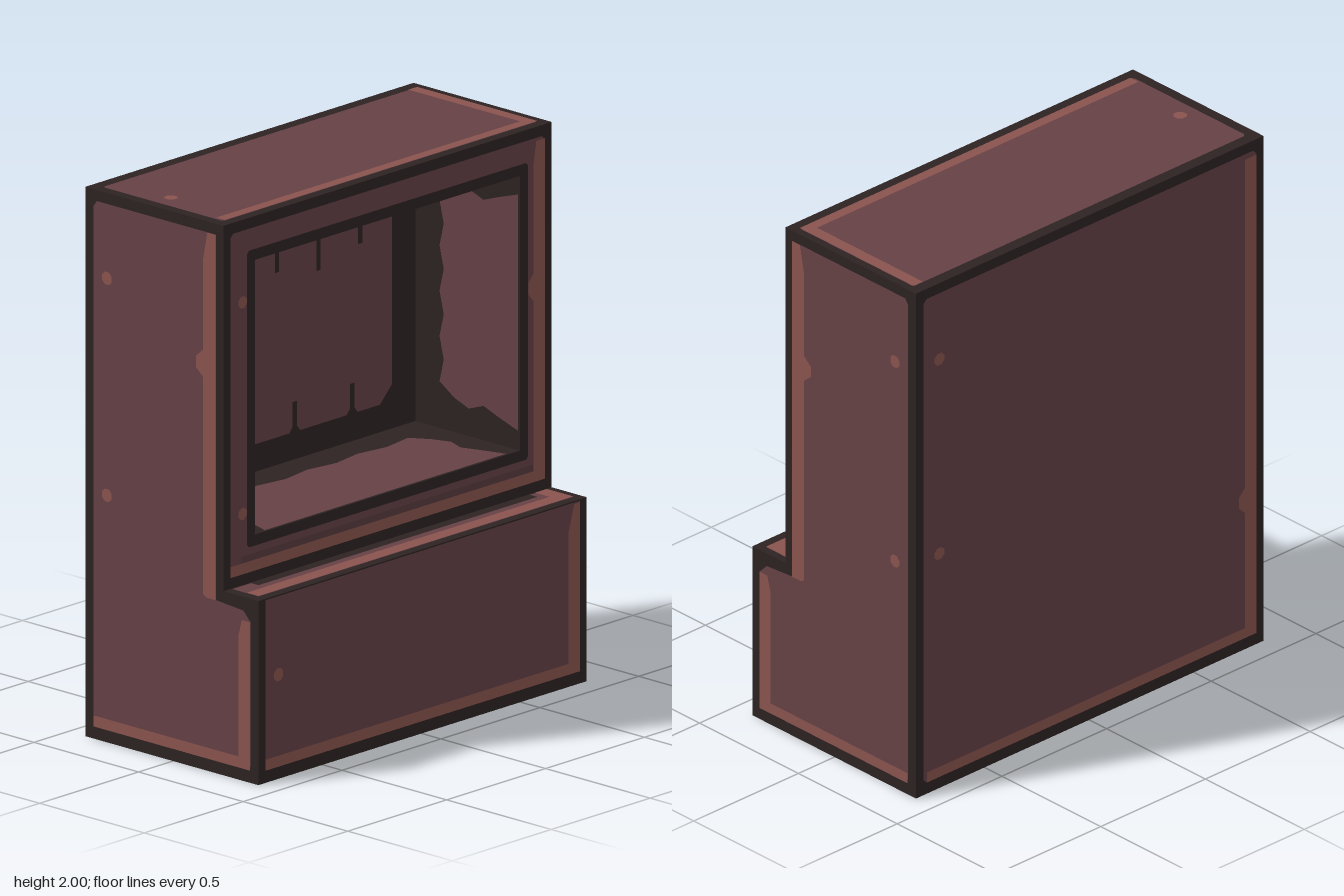
import * as THREE from 'three';

const mat = (name, color) => new THREE.MeshStandardMaterial({ name, color, side: THREE.DoubleSide });

// rectangle with cut corners, as points
function rect(u0, u1, v0, v1, c = 0) {
  if (!c) return [[u0, v0], [u1, v0], [u1, v1], [u0, v1]];
  return [[u0 + c, v0], [u1 - c, v0], [u1, v0 + c], [u1, v1 - c],
    [u1 - c, v1], [u0 + c, v1], [u0, v1 - c], [u0, v0 + c]];
}
const dot = (u, v, r = 0.025) => Array.from({ length: 8 }, (_, i) => {
  const a = (i + 0.5) * Math.PI / 4;
  return [u + r * Math.cos(a), v + r * Math.sin(a)];
});
const bump = (u, v, d) => [[u, v - 0.05], [u + d, v - 0.02], [u + d, v + 0.02], [u, v + 0.05]];

export function createModel() {
  const model = new THREE.Group();
  const dark = mat('darkEdge', 0x2c2322);
  const mauve = mat('mauvePanel', 0x654145);
  const shade = mat('deepMauve', 0x583a3e);
  const pink = mat('wornEdge', 0x8a534e);

  // flat face on a plane: axis x uses (z, y), y uses (x, z), z uses (x, y)
  function face(parent, name, material, axis, at, dir, points, holes = []) {
    const toV = p => p.map(([a, b]) => new THREE.Vector2(a, b));
    const shape = new THREE.Shape(toV(points));
    holes.forEach(h => shape.holes.push(new THREE.Path(toV(h))));
    const geo = new THREE.ShapeGeometry(shape);
    const X = new THREE.Vector3(1, 0, 0), Y = new THREE.Vector3(0, 1, 0), Z = new THREE.Vector3(0, 0, 1);
    const [u, v, n] = { x: [Z, Y, X], y: [X, Z, Y], z: [X, Y, Z] }[axis];
    const m = new THREE.Matrix4().makeBasis(u, v, n.clone().multiplyScalar(dir));
    if (m.determinant() < 0) {
      const ix = geo.index.array;
      for (let i = 0; i < ix.length; i += 3) [ix[i], ix[i + 1]] = [ix[i + 1], ix[i]];
    }
    geo.applyMatrix4(m);
    const mesh = new THREE.Mesh(geo, material);
    mesh.name = name;
    mesh.position[axis] = at;
    parent.add(mesh);
  }

  // dark border, inset panel and thin worn-edge plates on one side of the body
  function side(name, axis, at, dir, outline, panel, worn = [], hole = null) {
    const g = new THREE.Group();
    g.name = name;
    face(g, name + 'Border', dark, axis, at, dir, outline, [panel]);
    face(g, name + 'Panel', mauve, axis, at, dir, panel, hole ? [hole] : []);
    worn.forEach(w => face(g, name + 'Wear', pink, axis, at + dir * 0.002, dir, w));
    model.add(g);
    return g;
  }

  const W = 0.83, B = -0.415, F = 0.245, S = 0.412, H = 0.67;

  // stepped end walls
  const stepped = [[B, 0], [S, 0], [S, H], [F, H], [F, 2], [B, 2]];
  const inset = [[-0.36, 0.045], [0.36, 0.045], [0.375, 0.06], [0.375, 0.585], [0.34, 0.62],
    [0.21, 0.63], [0.21, 1.96], [-0.36, 1.96], [-0.375, 1.94], [-0.375, 0.06]];
  const endWear = [
    [[0.15, 0.64], [0.165, 0.63], [0.21, 0.63], [0.21, 1.96], [0.17, 1.96], [0.15, 1.86]],
    [[0.32, 0.085], [0.375, 0.085], [0.375, 0.585], [0.335, 0.585], [0.32, 0.53]],
    rect(-0.375, 0.375, 0.045, 0.085), bump(0.15, 1.48, -0.035), dot(-0.31, 1.69), dot(-0.31, 0.9)];
  side('frontEnd', 'z', W, 1, stepped, inset, endWear);
  side('backEnd', 'z', -W, -1, stepped, inset, endWear);

  // plain long wall
  side('rearWall', 'x', B, -1, rect(-W, W, 0, 2), rect(-0.795, 0.795, 0.045, 1.96, 0.015), [
    rect(-0.78, 0.795, 0.045, 0.085), rect(0.74, 0.795, 0.085, 1.94),
    bump(0.74, 0.59, -0.03), dot(-0.72, 1.7), dot(-0.72, 0.93)]);

  // top and bottom
  side('top', 'y', 2, 1, rect(B, F, -W, W), rect(-0.37, 0.205, -0.8, 0.79, 0.01), [
    rect(-0.37, 0.165, -0.8, -0.755), rect(0.165, 0.205, -0.8, 0.78), dot(-0.11, 0.72)]);
  side('bottom', 'y', 0, -1, rect(B, F, -W, W), rect(-0.37, 0.205, -0.79, 0.79, 0.01), [
    rect(0.165, 0.205, -0.78, 0.78), dot(-0.1, -0.72)]);

  // ledge: open underneath
  side('ledgeWall', 'x', S, 1, rect(-W, W, 0, H), rect(-0.795, 0.795, 0.045, 0.665), [
    rect(-0.795, 0.795, 0.045, 0.085),
    [[-0.795, 0.085], [-0.735, 0.085], [-0.735, 0.56], [-0.765, 0.66], [-0.795, 0.66]],
    dot(0.73, 0.38)]);
  const ledge = side('ledgeTop', 'y', H, 1, rect(F, S, -W, W), rect(0.25, 0.375, -0.8, 0.79), [
    rect(0.32, 0.375, -0.74, 0.79), rect(0.25, 0.375, -0.8, -0.74)]);
  face(ledge, 'ledgeGroove', dark, 'y', H + 0.002, 1, rect(0.25, 0.29, -0.71, 0.7));

  // wall around the opening
  const frameOut = rect(-0.71, 0.71, 0.8, 1.88, 0.01);
  const opening = rect(-0.67, 0.67, 0.84, 1.84);
  const wall = side('openingWall', 'x', F, 1, rect(-W, W, H, 2), rect(-0.795, 0.795, 0.71, 1.96, 0.015), [
    rect(-0.795, 0.795, 0.71, 0.75),
    [[-0.795, 0.75], [-0.735, 0.75], [-0.735, 1.86], [-0.75, 1.95], [-0.795, 1.95]],
    bump(-0.735, 1.42, 0.025), dot(0.735, 1.7, 0.023), dot(0.735, 0.93, 0.023)], frameOut);
  face(wall, 'openingFrame', dark, 'x', F, 1, frameOut, [opening]);
  face(wall, 'lowerShade', shade, 'x', F + 0.001, 1, rect(-0.735, 0.74, 0.75, 0.775));

  // recess back, with narrow slits running into the panel
  const R = -0.255;
  const slits = (list, edge) => list.flatMap(([z, y]) => {
    const s = edge > 1 ? -1 : 1; // walk direction along the edge
    return [[z - s * 0.028, edge], [z - s * 0.011, edge + s * 0.02], [z - s * 0.011, y],
      [z + s * 0.011, y], [z + s * 0.011, edge + s * 0.02], [z + s * 0.028, edge]];
  });
  const backPanel = [
    [-0.49, 0.94], ...slits([[-0.35, 1.05], [-0.06, 1.05], [0.19, 1.09]], 0.94), [0.49, 0.94],
    [0.555, 1.0], [0.555, 1.62], [0.515, 1.66], [0.5, 1.72],
    ...slits([[0.4, 1.51], [0.19, 1.62], [0.03, 1.54], [-0.18, 1.5], [-0.39, 1.55]], 1.72),
    [-0.5, 1.72], [-0.51, 1.66], [-0.55, 1.62], [-0.55, 1.0]];
  const recess = new THREE.Group();
  recess.name = 'recess';
  model.add(recess);
  face(recess, 'recessBackBorder', dark, 'x', R, 1, opening, [backPanel]);
  face(recess, 'recessBack', mauve, 'x', R, 1, backPanel);
  face(recess, 'recessChip', dark, 'x', R + 0.002, 1, rect(0.47, 0.495, 1.02, 1.05));

  // recess side walls, floor and ceiling, with uneven panel edges
  function ragged(v0, v1) {
    const pts = [[0.235, v1 + 0.03], [0.235, v0 - 0.03]];
    for (let i = 0; i <= 3; i++) pts.push([0.14 - i * 0.07, v0 + (i % 2) * 0.025]);
    for (let i = 0; i <= 8; i++)
      pts.push([-0.14 + (i % 2) * 0.02, v0 + 0.07 + (v1 - v0 - 0.14) * i / 8]);
    for (let i = 3; i >= 0; i--) pts.push([0.14 - i * 0.07, v1 - (i % 2) * 0.025]);
    return pts;
  }
  function lining(name, axis, at, dir, v0, v1, gap) {
    const panel = ragged(v0 + gap, v1 - gap);
    face(recess, name + 'Border', dark, axis, at, dir, rect(R, F, v0, v1), [panel]);
    face(recess, name, mauve, axis, at, dir, panel);
  }
  for (const s of [1, -1]) lining(s > 0 ? 'recessFrontSide' : 'recessBackSide', 'z', s * 0.67, -s, 0.84, 1.84, 0.1);
  lining('recessFloor', 'y', 0.84, 1, -0.67, 0.67, 0.09);
  lining('recessCeiling', 'y', 1.84, -1, -0.67, 0.67, 0.09);

  return model;
}
